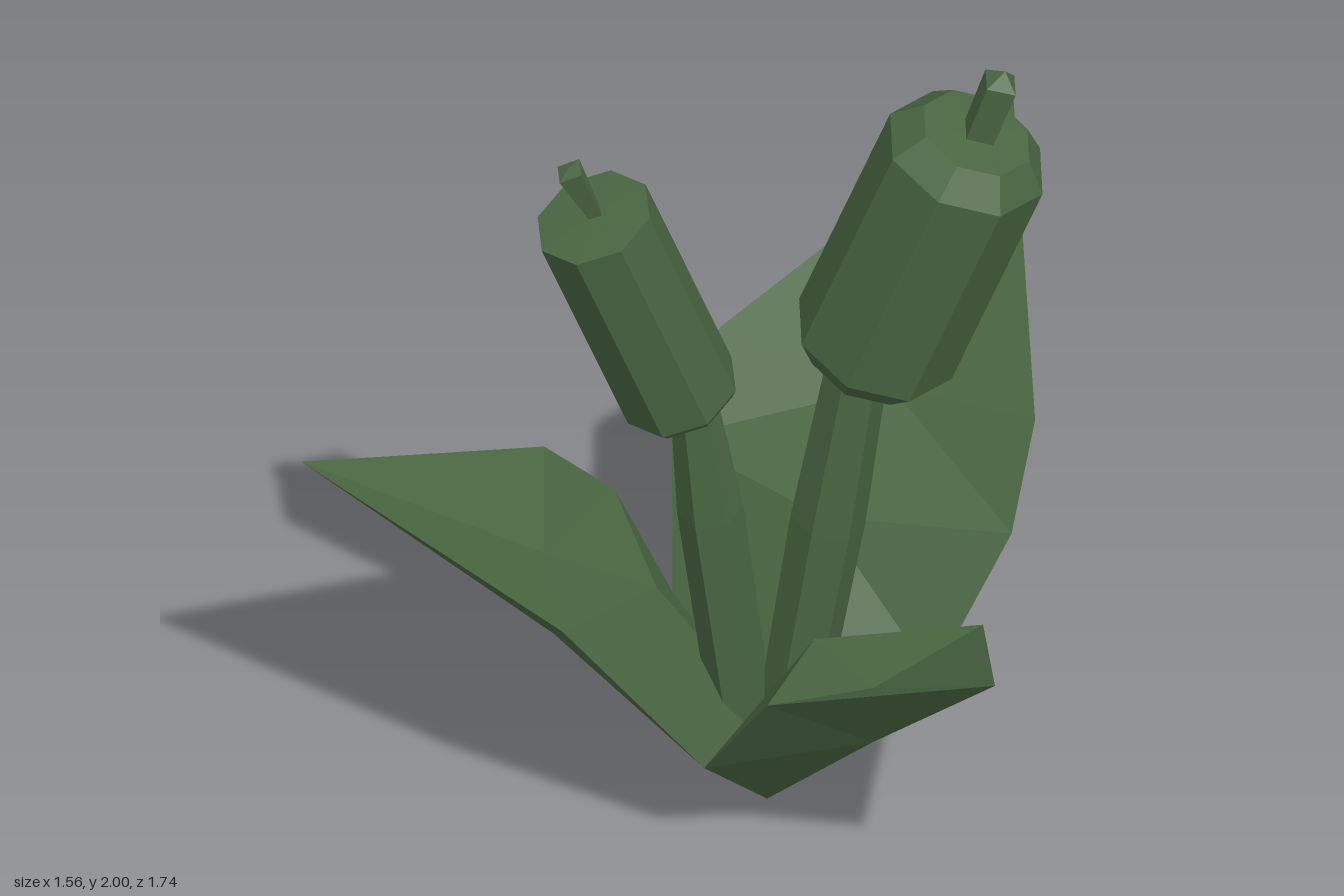
import * as THREE from 'three';

// Shared points where the three leaves join
const ROOT = [0.2, 0, 0.12], HEART = [0.2, 0.22, 0.12];
const JOIN_FRONT = [0.05, 0.29, 0.4], JOIN_BACK = [0.02, 0.32, -0.19], JOIN_LEFT = [0.55, 0.3, 0.12];

export function createModel() {
  const green = new THREE.MeshStandardMaterial({ color: 0x4a6642, flatShading: true, side: THREE.DoubleSide });
  green.name = 'marsh green';
  const model = new THREE.Group();
  model.name = 'cattailPlant';

  const add = (parent, name, geometry) => {
    const mesh = new THREE.Mesh(geometry, green);
    mesh.name = name;
    parent.add(mesh);
    return mesh;
  };

  // Thick leaf: keel below, inner and outer midpoints on top, one rim per side running root to tip.
  // The first rim is on the left when looking from the root to the tip.
  function leaf(name, tip, keel, inner, outer, rims) {
    const pos = [];
    rims.forEach((rim, side) => {
      const face = (a, b, c) => pos.push(...a, ...(side ? c : b), ...(side ? b : c));
      const path = [...rim, tip];
      // Underside fan around the keel
      [ROOT, ...rim].forEach((p, i) => face(keel, path[i], p));
      // Upper side
      face(HEART, inner, rim[0]);
      face(inner, rim[1], rim[0]);
      face(inner, outer, rim[1]);
      for (let i = 1; i < rim.length; i++) face(outer, path[i + 1], path[i]);
    });
    const geometry = new THREE.BufferGeometry();
    geometry.setAttribute('position', new THREE.Float32BufferAttribute(pos, 3));
    geometry.computeVertexNormals();
    add(model, name, geometry);
  }

  leaf('rightLeaf', [-0.78, 0.92, 0.12], [-0.25, 0.45, 0.12], [-0.03, 0.53, 0.08], [-0.27, 0.66, 0.12], [
    [JOIN_FRONT, [-0.25, 0.68, 0.43]],
    [JOIN_BACK, [-0.1, 0.57, -0.22], [-0.25, 0.71, -0.19]]]);
  leaf('frontLeaf', [0.633, 0.82, 0.87], [0.4, 0.4, 0.48], [0.29, 0.52, 0.27], [0.4, 0.54, 0.48], [
    [JOIN_LEFT, [0.64, 0.6, 0.35]],
    [JOIN_FRONT, [0.17, 0.6, 0.61]]]);
  leaf('backLeaf', [0.78, 1.07, -0.87], [0.49, 0.5, -0.36], [0.33, 0.56, -0.11], [0.49, 0.71, -0.36], [
    [JOIN_BACK, [0.03, 0.59, -0.37], [0.14, 0.77, -0.51]],
    [JOIN_LEFT, [0.72, 0.6, 0.03], [0.78, 0.77, -0.14]]]);

  // Faceted shaft between two points; profile pairs are [radius, distance from start, 0 to 1]
  function shaft(parent, name, from, to, sides, profile) {
    const a = new THREE.Vector3(...from), d = new THREE.Vector3(...to).sub(a);
    const points = profile.map(([r, t]) => new THREE.Vector2(r, t * d.length()));
    const mesh = add(parent, name, new THREE.LatheGeometry(points, sides, Math.PI / sides));
    mesh.position.copy(a);
    mesh.quaternion.setFromUnitVectors(new THREE.Vector3(0, 1, 0), d.normalize());
  }

  function cattail(name, stem, head, spike) {
    const group = new THREE.Group();
    group.name = name;
    model.add(group);
    shaft(group, 'stem', ...stem);
    shaft(group, 'seedHead', ...head);
    shaft(group, 'spike', ...spike);
  }

  // Tall cattail with bevelled ends
  cattail('tallCattail',
    [[0.235, 0.15, 0.14], [0.4, 1.25, 0.18], 6, [[0, 0], [0.07, 0.01], [0.08, 0.55], [0.064, 1]]],
    [[0.4, 1.17, 0.18], [0.633, 1.835, 0.282], 8,
      [[0, 0], [0.13, 0.01], [0.181, 0.1], [0.181, 0.9], [0.125, 0.99], [0, 1]]],
    [[0.62, 1.78, 0.277], [0.69, 2, 0.3], 4, [[0.042, 0], [0.045, 0.86], [0, 1]]]);

  // Short cattail with nearly flat ends
  cattail('shortCattail',
    [[0.155, 0.15, 0.13], [0.035, 1.14, 0.185], 6, [[0, 0], [0.066, 0.01], [0.07, 0.65], [0.046, 1]]],
    [[0.02, 1.095, 0.18], [-0.178, 1.65, 0.278], 8,
      [[0, 0], [0.115, 0.005], [0.13, 0.04], [0.13, 0.985], [0, 1]]],
    [[-0.168, 1.64, 0.272], [-0.23, 1.785, 0.295], 4, [[0.018, 0], [0.035, 0.95], [0, 1]]]);

  return model;
}
